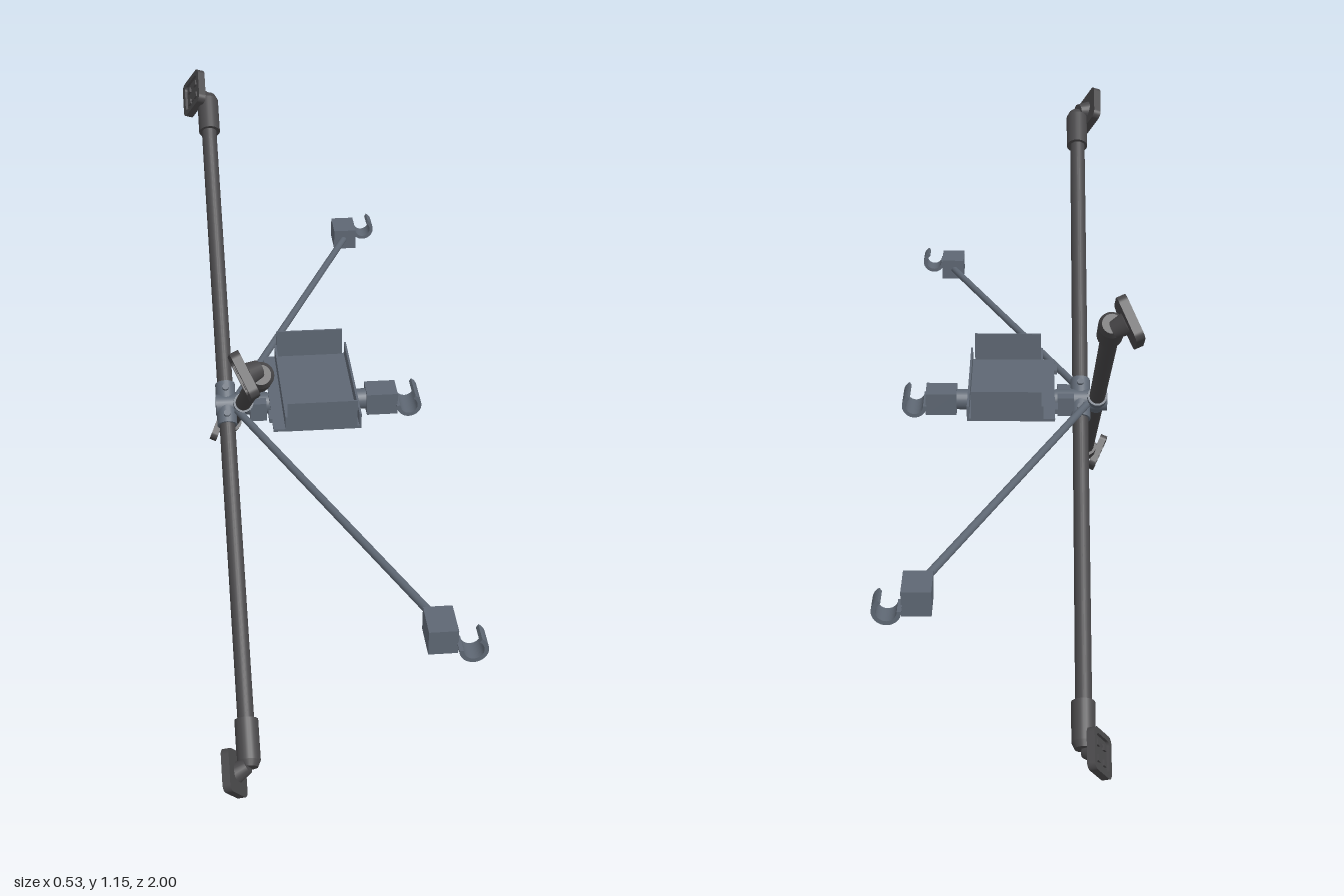
import * as THREE from 'three';

const mat = (name, color) => {
  const m = new THREE.MeshStandardMaterial({ color });
  m.name = name;
  return m;
};

export function createModel() {
  const charcoal = mat('charcoal', 0x484749);
  const slate = mat('slate', 0x5e6773);
  const model = new THREE.Group();
  const Y = 0.58; // height of the hub

  const add = (parent, name, geo, material, x = 0, y = 0, z = 0) => {
    const m = new THREE.Mesh(geo, material);
    m.name = name;
    m.position.set(x, y, z);
    parent.add(m);
    return m;
  };
  const box = (parent, name, material, x0, x1, y0, y1, z0, z1) =>
    add(parent, name, new THREE.BoxGeometry(x1 - x0, y1 - y0, z1 - z0), material,
      (x0 + x1) / 2, (y0 + y1) / 2, (z0 + z1) / 2);
  // Cylinder running between two points
  const rod = (parent, name, material, a, b, r, r2 = r) => {
    const p = new THREE.Vector3(...a), d = new THREE.Vector3(...b).sub(p);
    const m = add(parent, name, new THREE.CylinderGeometry(r2, r, d.length(), 24), material);
    m.position.copy(p).addScaledVector(d, 0.5);
    m.quaternion.setFromUnitVectors(new THREE.Vector3(0, 1, 0), d.normalize());
    return m;
  };
  const roundedSquare = (path, h, r) => {
    [[h - r, h - r, 0], [r - h, h - r, 1], [r - h, r - h, 2], [h - r, r - h, 3]]
      .forEach(([x, y, q]) => path.absarc(x, y, r, q * Math.PI / 2, (q + 1) * Math.PI / 2));
    path.closePath();
    return path;
  };
  const padPlate = roundedSquare(new THREE.Shape(), 0.049, 0.016);
  const padRim = roundedSquare(new THREE.Shape(), 0.049, 0.016);
  padRim.holes.push(roundedSquare(new THREE.Path(), 0.036, 0.01));
  const extrude = (shape, depth) =>
    new THREE.ExtrudeGeometry(shape, { depth, bevelEnabled: false, curveSegments: 16 });

  // Two crossed bars, each with a clamp and a tilted foot pad at both ends
  [[-0.211, 0.6], [-0.171, -0.6]].forEach(([x, angle], i) => {
    const bar = new THREE.Group();
    bar.name = i ? 'innerCrossBar' : 'outerCrossBar';
    bar.position.set(x, Y, 0);
    bar.rotation.x = angle;
    model.add(bar);
    rod(bar, 'tube', charcoal, [0, 0, -0.86], [0, 0, 0.86], 0.019);
    rod(bar, 'collar', slate, [0, 0, -0.055], [0, 0, 0.055], 0.024);
    for (const s of [-1, 1]) {
      rod(bar, 'collarBolt', slate, [0, 0, s * 0.035], [0, 0.03, s * 0.035], 0.008);
      const end = new THREE.Group();
      end.name = 'barEnd';
      end.rotation.x = s > 0 ? 0 : Math.PI;
      bar.add(end);
      rod(end, 'clamp', charcoal, [0.001, 0, 0.785], [0.001, 0, 0.88], 0.027);
      rod(end, 'clampCap', charcoal, [0.001, 0, 0.88], [0.001, 0, 0.895], 0.027, 0.02);
      const pad = new THREE.Group();
      pad.name = 'footPad';
      pad.position.set(-0.03, 0, 0.905);
      pad.rotation.z = 0.42;
      end.add(pad);
      add(pad, 'padPlate', extrude(padPlate, 0.012), charcoal, -0.006).rotation.y = Math.PI / 2;
      add(pad, 'padRim', extrude(padRim, 0.007), charcoal, -0.013).rotation.y = Math.PI / 2;
      for (const a of [-1, 1]) for (const b of [-1, 1])
        box(pad, 'padStud', charcoal, -0.011, -0.005,
          a * 0.018 - 0.007, a * 0.018 + 0.007, b * 0.018 - 0.007, b * 0.018 + 0.007);
      rod(pad, 'swivelNeck', charcoal, [0, 0, 0], [0.03, 0, -0.012], 0.024, 0.018);
    }
  });

  // Hub joining the bars to the carrying arms
  rod(model, 'hubPin', slate, [-0.236, Y, 0], [-0.11, Y, 0], 0.026);
  box(model, 'hubBlock', slate, -0.155, -0.115, 0.555, 0.602, -0.042, 0.042);

  // C-shaped hook, open towards the upper left
  const hookShape = new THREE.Shape();
  hookShape.absarc(0, 0, 0.03, Math.PI, Math.PI * 2.33, false);
  hookShape.absarc(0, 0, 0.021, Math.PI * 2.33, Math.PI, true);
  hookShape.closePath();
  const hook = (z0, z1) =>
    add(model, 'hook', extrude(hookShape, z1 - z0), slate, 0.232, Y, z0);

  // Middle arm
  rod(model, 'middleArm', slate, [-0.12, Y, 0], [0.14, Y, 0], 0.025);
  box(model, 'middleBlock', slate, 0.13, 0.205, 0.553, 0.608, -0.034, 0.034);
  hook(-0.043, 0.043);

  // Thin side arms spreading to the front and the back
  for (const s of [-1, 1]) {
    rod(model, 'sideArm', slate, [-0.185, Y, s * 0.03], [0.175, Y, s * 0.9], 0.009);
    box(model, 'sideBlock', slate, 0.144, 0.205, 0.553, 0.608,
      s > 0 ? 0.886 : -0.972, s > 0 ? 0.972 : -0.886);
    hook(s > 0 ? 0.95 : -1, s > 0 ? 1 : -0.95);
  }

  // Shallow tray with tall end walls
  const t = 0.005;
  box(model, 'trayFloor', slate, -0.08, 0.1, 0.604, 0.611, -0.175, 0.175);
  box(model, 'trayOuterWall', slate, 0.1 - t, 0.1, 0.605, 0.642, -0.175, 0.175);
  box(model, 'trayInnerWall', slate, -0.08, -0.08 + t, 0.605, 0.642, -0.175, 0.175);
  box(model, 'trayFlange', slate, -0.108, -0.08, 0.604, 0.61, -0.175, 0.175);
  for (const s of [-1, 1]) {
    box(model, 'trayEndWall', slate, -0.075, 0.09, 0.605, 0.68, s * 0.175 - t / 2, s * 0.175 + t / 2);
    box(model, 'flangeTab', slate, -0.115, -0.108, 0.604, 0.616, s * 0.115 - 0.02, s * 0.115 + 0.02);
  }

  return model;
}
